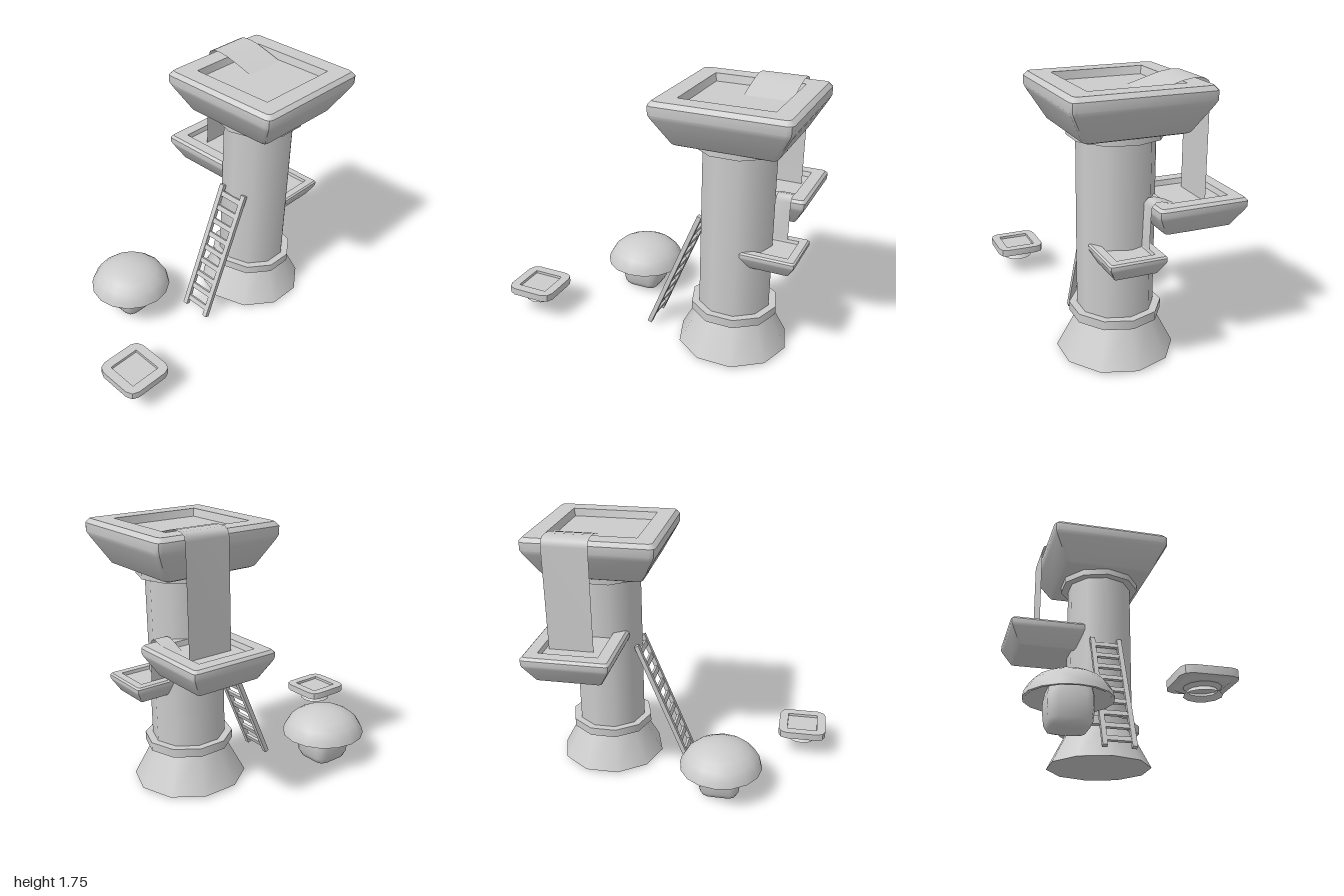
import * as THREE from 'three';
import { toCreasedNormals } from 'three/addons/utils/BufferGeometryUtils.js';

const grey = new THREE.MeshStandardMaterial({ color: 0xcccccc });
const greyThin = new THREE.MeshStandardMaterial({ color: 0xcccccc, side: THREE.DoubleSide });

function add(parent, name, geometry, x = 0, y = 0, z = 0, material = grey) {
  const mesh = new THREE.Mesh(geometry, material);
  mesh.name = name;
  mesh.position.set(x, y, z);
  parent.add(mesh);
  return mesh;
}

// Square cross-sections with rounded corners, stacked: [half width, y, corner radius]
function squareLoft(sections, crease = 0.6) {
  const perCorner = 3;
  const n = perCorner * 4;
  const rings = sections.map(([half, y, r]) => {
    const ring = [];
    for (let c = 0; c < 4; c++) {
      const mid = Math.PI / 4 + c * Math.PI / 2;
      const cx = Math.sign(Math.cos(mid)) * (half - r);
      const cz = Math.sign(Math.sin(mid)) * (half - r);
      for (let k = 0; k < perCorner; k++) {
        const a = mid + (k / (perCorner - 1) - 0.5) * Math.PI / 2;
        ring.push([cx + r * Math.cos(a), y, cz + r * Math.sin(a)]);
      }
    }
    return ring;
  });
  const pos = [];
  for (let s = 0; s < rings.length - 1; s++) {
    const low = rings[s], high = rings[s + 1];
    for (let i = 0; i < n; i++) {
      const j = (i + 1) % n;
      if (sections[s][0] > 0) pos.push(...low[i], ...high[i], ...low[j]);
      if (sections[s + 1][0] > 0) pos.push(...high[i], ...high[j], ...low[j]);
    }
  }
  const g = new THREE.BufferGeometry();
  g.setAttribute('position', new THREE.Float32BufferAttribute(pos, 3));
  return toCreasedNormals(g, crease);
}

// Flared square tray with a sunken floor; all trays share one shape at different sizes
function basin(size) {
  return squareLoft([
    [0, 0, 0], [0.71, 0, 0.05], [0.75, 0.02, 0.06], [0.965, 0.4, 0.07], [1, 0.47, 0.08],
    [1, 0.595, 0.08], [0.945, 0.655, 0.06], [0.68, 0.655, 0.01], [0.655, 0.54, 0.01], [0, 0.54, 0],
  ].map((s) => s.map((v) => v * size)));
}

// Thin sheet of the given width following a path of [y, z] points
function sheet(width, path) {
  const g = new THREE.PlaneGeometry(width, 1, 1, path.length - 1);
  const p = g.attributes.position;
  for (let i = 0; i < p.count; i++) {
    const [y, z] = path[Math.floor(i / 2)];
    p.setY(i, y);
    p.setZ(i, z);
  }
  g.computeVertexNormals();
  return g;
}

function lathe(points, sides, crease) {
  const g = new THREE.LatheGeometry(points.map(([r, y]) => new THREE.Vector2(r, y)), sides);
  return toCreasedNormals(g, crease);
}

function createTower() {
  const tower = new THREE.Group();
  tower.name = 'tower';
  const x = 0.553, z = 0.125;
  // Ten-sided drums: [name, top radius, bottom radius, bottom y, top y]
  const drums = [
    ['towerFoot', 0.24, 0.37, 0.015, 0.26],
    ['lowerRing', 0.288, 0.288, 0.258, 0.315],
    ['column', 0.239, 0.239, 0.3, 1.46],
    ['upperRing', 0.295, 0.295, 1.405, 1.455],
  ];
  for (const [name, top, bottom, y0, y1] of drums) {
    const g = new THREE.CylinderGeometry(top, bottom, y1 - y0, 10, 1, false, Math.PI / 2);
    add(tower, name, g, x, (y0 + y1) / 2, z);
  }

  // Three trays, each lower than the last
  add(tower, 'topBasin', basin(0.435), 0.555, 1.45, z);
  add(tower, 'backBasin', basin(0.29), 0.66, 0.851, -0.272);
  add(tower, 'sideBasin', basin(0.178), 0.818, 0.66, 0.163);

  // Falling sheets linking the trays
  add(tower, 'upperWaterfall', sheet(0.3, [
    [1.68, 0.065], [1.72, -0.07], [1.745, -0.16], [1.755, -0.23], [1.752, -0.29],
    [1.735, -0.32], [1.7, -0.332], [0.99, -0.332],
  ]), 0.68, 0, 0, greyThin);
  add(tower, 'lowerWaterfall', sheet(0.1, [
    [1.005, -0.16], [1.04, -0.09], [1.06, -0.03], [1.058, 0.01], [1.03, 0.035], [0.74, 0.045],
  ]), 0.815, 0, 0, greyThin);
  return tower;
}

function createLadder() {
  const ladder = new THREE.Group();
  ladder.name = 'ladder';
  const length = 0.96;
  for (const side of [-1, 1]) {
    add(ladder, 'ladderRail', new THREE.BoxGeometry(0.03, length, 0.034), 0, 0, side * 0.098);
  }
  for (let i = 0; i < 9; i++) {
    add(ladder, 'ladderRung', new THREE.BoxGeometry(0.02, 0.036, 0.18), 0, (i - 4) * 0.105, 0);
  }
  ladder.position.set(0.152, 0.46, 0.12);
  ladder.rotation.z = -Math.atan2(0.365, 0.9);
  return ladder;
}

function createMushroom() {
  const mushroom = new THREE.Group();
  mushroom.name = 'mushroom';
  // Domed cap with a hollow underside
  add(mushroom, 'mushroomCap', lathe([
    [0, 0.265], [0.12, 0.26], [0.2, 0.24], [0.262, 0.2], [0.281, 0.2], [0.27, 0.24],
    [0.24, 0.289], [0.195, 0.329], [0.135, 0.359], [0.07, 0.375], [0, 0.38],
  ], 16, 0.8));
  add(mushroom, 'mushroomStem', squareLoft([
    [0, 0, 0], [0.08, 0.002, 0.04], [0.118, 0.015, 0.05], [0.134, 0.05, 0.055],
    [0.143, 0.13, 0.06], [0.143, 0.2, 0.06], [0.13, 0.262, 0.06],
  ], 0.9));
  mushroom.position.set(-0.305, 0, -0.275);
  return mushroom;
}

function createSmallDish() {
  const dish = new THREE.Group();
  dish.name = 'smallDish';
  add(dish, 'dishTray', squareLoft([
    [0, 0.148, 0], [0.115, 0.148, 0.04], [0.135, 0.162, 0.05], [0.169, 0.164, 0.06],
    [0.169, 0.213, 0.06], [0.107, 0.213, 0.004], [0.106, 0.195, 0.004], [0, 0.195, 0],
  ], 0.5));
  // Waisted open foot
  add(dish, 'dishFoot', lathe([[0.11, 0.1], [0.085, 0.128], [0.112, 0.152]], 12, 0.7), 0, 0, 0, greyThin);
  dish.position.set(-0.831, 0, 0.369);
  return dish;
}

export function createModel() {
  const model = new THREE.Group();
  model.name = 'fountainTower';
  model.add(createTower(), createLadder(), createMushroom(), createSmallDish());
  return model;
}
